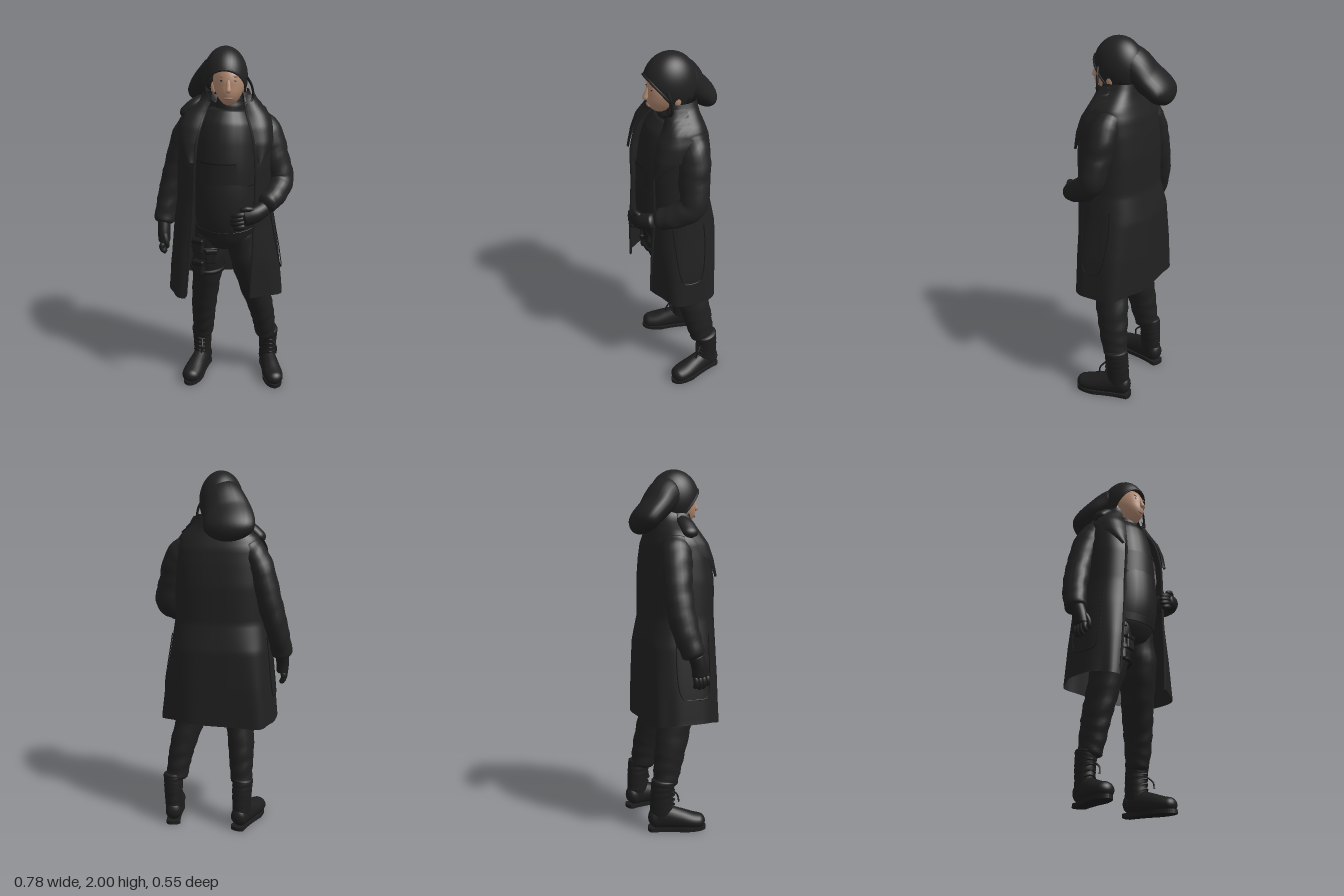
import * as THREE from 'three';
import { RoundedBoxGeometry } from 'three/addons/geometries/RoundedBoxGeometry.js';

const mat = (name, color, side = THREE.FrontSide) => {
  const m = new THREE.MeshStandardMaterial({ color, side });
  m.name = name;
  return m;
};
const V = (p) => new THREE.Vector3(...p);

// Grid of points to a smooth surface; rows optionally closed into a ring
function gridGeometry(rows, closed) {
  const n = rows[0].length, pos = [], idx = [];
  rows.forEach((r) => r.forEach((p) => pos.push(p.x, p.y, p.z)));
  for (let i = 0; i < rows.length - 1; i++) {
    for (let j = 0; j < (closed ? n : n - 1); j++) {
      const k = (j + 1) % n, a = i * n, b = a + n;
      idx.push(a + j, a + k, b + k, a + j, b + k, b + j);
    }
  }
  const g = new THREE.BufferGeometry();
  g.setAttribute('position', new THREE.Float32BufferAttribute(pos, 3));
  g.setIndex(idx);
  g.computeVertexNormals();
  return g;
}

// Round-ended body along a path of [x, y, z, radiusA, radiusB]; A lies across ref
function limbGeometry(path, ref = [0, 0, 1], { cap = 0.08, wrinkle = 0, steps = 40, sides = 24 } = {}) {
  const mid = new THREE.CatmullRomCurve3(path.map((p) => V(p.slice(0, 3))));
  const rad = new THREE.CatmullRomCurve3(path.map((p) => new THREE.Vector3(p[3], p[4] ?? p[3], 0)));
  const rows = [];
  for (let i = 0; i <= steps; i++) {
    const u = (1 - Math.cos((Math.PI * i) / steps)) / 2;
    const c = mid.getPoint(u), r = rad.getPoint(u), t = mid.getTangent(u);
    const a = V(ref).cross(t).normalize(), b = t.clone().cross(a);
    const e = Math.max(0, 1 - Math.min(u, 1 - u) / cap);
    const round = Math.sqrt(Math.max(0, 1 - e * e));
    const row = [];
    for (let j = 0; j < sides; j++) {
      const f = (j / sides) * Math.PI * 2;
      const m = round * (1 + wrinkle * Math.sin(u * 48 + 1.6 * Math.sin(2 * f + u * 9)));
      row.push(c.clone().addScaledVector(a, Math.cos(f) * r.x * m).addScaledVector(b, Math.sin(f) * r.y * m));
    }
    rows.push(row);
  }
  return gridGeometry(rows, true);
}

// Coat sections: y, centre x, centre z, half width, half depth, right edge x, left edge x, right side squareness
const COAT = [
  [0.63, 0.025, -0.02, 0.326, 0.2, -0.2, 0.16, 0.5], [0.85, 0.02, -0.02, 0.305, 0.202, -0.18, 0.17, 0.55],
  [1.05, 0.01, -0.02, 0.28, 0.2, -0.16, 0.175, 0.65], [1.2, 0.01, -0.005, 0.26, 0.185, -0.15, 0.18, 0.75],
  [1.4, 0.01, -0.005, 0.255, 0.187, -0.14, 0.18, 0.75], [1.52, 0.015, -0.01, 0.25, 0.17, -0.13, 0.17, 0.75],
  [1.6, 0.015, -0.02, 0.24, 0.148, -0.11, 0.15, 0.75], [1.66, 0.02, -0.03, 0.215, 0.115, -0.09, 0.13, 0.75],
  [1.7, 0.025, -0.03, 0.165, 0.1, -0.07, 0.12, 0.75], [1.735, 0.03, -0.03, 0.125, 0.095, -0.06, 0.115, 0.75],
  [1.77, 0.03, -0.03, 0.11, 0.09, -0.05, 0.11, 0.75],
];
const power = (v, p) => Math.sign(v) * Math.pow(Math.abs(v), p);
function coatSection(y) {
  let i = 0;
  while (i < COAT.length - 2 && y > COAT[i + 1][0]) i++;
  const k = (y - COAT[i][0]) / (COAT[i + 1][0] - COAT[i][0]);
  return COAT[i].map((v, j) => THREE.MathUtils.lerp(v, COAT[i + 1][j], k));
}
const coatAngle = (s, x) => {
  const u = THREE.MathUtils.clamp((x - s[1]) / s[3], -1, 1);
  return Math.asin(power(u, 1 / (u < 0 ? s[7] : 0.75)));
};
const coatPoint = (s, f, off = 0) => {
  const p = Math.sin(f) < 0 ? s[7] : 0.75;
  return new THREE.Vector3(s[1] + (s[3] + off) * power(Math.sin(f), p), s[0], s[2] + (s[4] + off) * power(Math.cos(f), p));
};

export function createModel() {
  const root = new THREE.Group();
  const coatMat = mat('coat black', 0x212121, THREE.DoubleSide);
  const cloth = mat('cloth black', 0x202020);
  const trouser = mat('trouser black', 0x1f1f1f);
  const leather = mat('leather black', 0x1d1d1d);
  const trim = mat('dark trim', 0x181818);
  const skin = mat('skin', 0xb08870);
  const lip = mat('lip', 0x946e5b);

  const add = (name, geo, m, parent = root) => {
    const mesh = new THREE.Mesh(geo, m);
    mesh.name = name;
    parent.add(mesh);
    return mesh;
  };
  const limb = (name, m, path, ref, opt, parent) => add(name, limbGeometry(path, ref, opt), m, parent);
  const ball = (name, m, p, s, parent) => {
    const b = add(name, new THREE.SphereGeometry(1, 28, 20), m, parent);
    b.position.set(...p);
    b.scale.set(...s);
  };
  const cord = (name, m, pts, r, parent) => add(name,
    new THREE.TubeGeometry(new THREE.CatmullRomCurve3(pts.map(V)), 40, r, 6), m, parent);
  const box = (name, m, size, p, ry) => {
    const b = add(name, new RoundedBoxGeometry(...size, 2, Math.min(...size) * 0.3), m);
    b.position.set(...p);
    b.rotation.y = ry;
  };

  // Open coat, from its left front edge around the back to its right front edge
  const rows = [];
  for (let i = 0; i <= 60; i++) {
    const y = 0.63 + (1.14 * i) / 60, s = coatSection(y), row = [];
    const f0 = coatAngle(s, s[6]), f1 = coatAngle(s, s[5]) + Math.PI * 2;
    for (let j = 0; j <= 72; j++) {
      const f = f0 + ((f1 - f0) * j) / 72;
      const p = coatPoint(s, f, 0.008 * Math.max(0, (1.1 - y) / 0.5) * Math.sin(f * 7));
      if (i === 0) p.y += 0.008 * Math.sin(f * 3);
      row.push(p);
    }
    rows.push(row);
  }
  add('coat', gridGeometry(rows, false), coatMat);

  // Lapels, front edge bands and pocket seams that follow the coat
  for (const [side, col] of [[1, 6], [-1, 5]]) {
    const lapel = [], edge = [], seam = [];
    for (let i = 0; i <= 24; i++) {
      const k = i / 24, s = coatSection(1.42 + 0.34 * k), row = [];
      const w = 0.01 + 0.1 * Math.sin(Math.PI * Math.min(1, k * 0.85 + 0.05));
      for (let j = 0; j <= 8; j++) {
        row.push(coatPoint(s, coatAngle(s, s[col] + side * w * (j / 8)), 0.014 + 0.012 * Math.sin((j / 8) * Math.PI)));
      }
      lapel.push(row);
    }
    add('lapel', gridGeometry(lapel, false), coatMat);
    for (let y = 0.64; y < 1.76; y += 0.06) {
      const s = coatSection(y);
      edge.push(coatPoint(s, coatAngle(s, s[col]), 0.002).toArray());
    }
    cord('coatEdge', coatMat, edge, 0.008);
    for (let i = 0; i <= 20; i++) {
      const k = i / 20, s = coatSection(0.77 + 0.35 * Math.abs(2 * k - 1) ** 4);
      seam.push(coatPoint(s, side * (1.15 + 0.7 * k), 0.004).toArray());
    }
    cord('pocketSeam', trim, seam, 0.003);
  }
  // Turned-down collar resting on the right shoulder
  limb('collarFold', coatMat, [[-0.08, 1.735, -0.01, 0.025], [-0.155, 1.695, 0.005, 0.03, 0.045], [-0.222, 1.635, 0.005, 0.028, 0.045]],
    [0, 0, 1], { cap: 0.2 });

  // Torso, vest and belt
  limb('torso', cloth, [[0.02, 0.9, 0, 0.13, 0.1], [0.02, 1.0, 0.02, 0.165, 0.14], [0.02, 1.12, 0.04, 0.17, 0.15],
    [0.02, 1.24, 0.042, 0.168, 0.148], [0.02, 1.4, 0.03, 0.16, 0.135], [0.03, 1.58, 0, 0.13, 0.11]]);
  limb('vest', cloth, [[0.02, 1.26, 0.035, 0.172, 0.15], [0.02, 1.38, 0.03, 0.168, 0.15], [0.02, 1.5, 0.015, 0.165, 0.148],
    [0.025, 1.6, 0, 0.15, 0.135], [0.03, 1.68, -0.01, 0.1, 0.09]], undefined, { cap: 0.04 });
  limb('belt', leather, [[0.02, 1.0, 0.02, 0.172, 0.146], [0.02, 1.05, 0.026, 0.175, 0.15]], undefined, { cap: 0.15 });
  for (const [name, h, y, r, m] of [['chestPocket', 0.11, 1.36, 1, coatMat], ['pocketHem', 0.008, 1.415, 1.015, trim]]) {
    const panel = new THREE.CylinderGeometry(1, 1, h, 24, 1, true, -0.85, 1.2).scale(0.176 * r, 1, 0.156 * r);
    add(name, panel, m).position.set(0.02, y, 0.03);
  }
  limb('neck', cloth, [[0.035, 1.6, -0.01, 0.085, 0.08], [0.038, 1.68, 0, 0.077, 0.077], [0.038, 1.74, -0.01, 0.066, 0.066],
    [0.035, 1.8, -0.02, 0.06, 0.055]], undefined, { wrinkle: 0.02 });

  // Face, tapered towards the chin
  const head = new THREE.Group();
  head.name = 'head';
  root.add(head);
  const face = new THREE.SphereGeometry(1, 36, 28), fp = face.attributes.position;
  for (let i = 0; i < fp.count; i++) {
    const low = Math.max(0, -fp.getY(i) - 0.1);
    fp.setX(i, fp.getX(i) * (1 - 0.22 * low));
    if (fp.getZ(i) > 0) fp.setZ(i, fp.getZ(i) * (1 + 0.35 * low));
  }
  face.scale(0.085, 0.125, 0.11);
  face.computeVertexNormals();
  add('face', face, skin, head).position.set(0.035, 1.82, 0.02);
  limb('nose', skin, [[0.035, 1.85, 0.118, 0.009], [0.035, 1.81, 0.134, 0.012], [0.035, 1.78, 0.142, 0.017]],
    undefined, { cap: 0.25, steps: 14, sides: 12 }, head);
  ball('mouth', lip, [0.035, 1.75, 0.127], [0.024, 0.007, 0.006], head);
  for (const s of [-1, 1]) {
    ball('eye', trim, [0.035 + s * 0.034, 1.84, 0.118], [0.01, 0.003, 0.004], head);
    ball('brow', lip, [0.035 + s * 0.034, 1.861, 0.115], [0.019, 0.004, 0.004], head);
    ball('ear', skin, [0.033 + s * 0.083, 1.785, 0.0], [0.013, 0.032, 0.02], head);
  }
  ball('napeHair', trim, [0.03, 1.79, -0.055], [0.085, 0.085, 0.045], head);

  // Soft hood with an opening tilted down to the face, and its hanging back
  const open = 1.1, tilt = 0.74;
  const hood = new THREE.SphereGeometry(1, 40, 28, 0, Math.PI * 2, open, Math.PI - open).rotateX(Math.PI / 2 + tilt);
  const rim = new THREE.TorusGeometry(Math.sin(open), 0.045, 8, 48).translate(0, 0, Math.cos(open)).rotateX(tilt);
  for (const [name, g] of [['hood', hood], ['hoodRim', rim]]) {
    add(name, g.scale(0.118, 0.16, 0.143), coatMat, head).position.set(0.015, 1.84, 0);
  }
  limb('hoodTail', cloth, [[0.012, 1.865, -0.01, 0.1, 0.113], [-0.01, 1.85, -0.07, 0.112, 0.097], [-0.045, 1.785, -0.14, 0.13, 0.075],
    [-0.067, 1.73, -0.2, 0.135, 0.068], [-0.078, 1.655, -0.252, 0.115, 0.056]], [0, 0.7, -0.7], { cap: 0.2 }, head);
  cord('hairStrand', trim, [[0.13, 1.85, 0.06], [0.155, 1.8, 0.05], [0.16, 1.74, 0.05], [0.12, 1.71, 0.07]], 0.007, head);

  // Sleeves, bent on the left and hanging on the right
  limb('leftSleeve', coatMat, [[0.17, 1.61, -0.04, 0.08, 0.07], [0.245, 1.53, -0.035, 0.085, 0.078], [0.285, 1.41, -0.02, 0.08, 0.074],
    [0.322, 1.285, 0, 0.073, 0.068], [0.29, 1.225, 0.085, 0.064, 0.062], [0.23, 1.185, 0.175, 0.055, 0.053]],
    [0.7, 0, 0.6], { wrinkle: 0.03, cap: 0.06 });
  limb('rightSleeve', coatMat, [[-0.14, 1.61, -0.05, 0.07, 0.08], [-0.207, 1.52, -0.075, 0.07, 0.085], [-0.26, 1.34, -0.088, 0.07, 0.08],
    [-0.31, 1.16, -0.07, 0.062, 0.075], [-0.339, 1.0, -0.025, 0.058, 0.06]], undefined, { wrinkle: 0.03, cap: 0.04 });

  // Gloved hands
  const finger = { cap: 0.2, steps: 12, sides: 10 };
  limb('leftGlove', leather, [[0.235, 1.18, 0.17, 0.045], [0.18, 1.155, 0.222, 0.038, 0.046], [0.11, 1.135, 0.241, 0.034, 0.046]],
    [0, 1, 0], { cap: 0.15 });
  limb('rightGlove', leather, [[-0.335, 1.02, -0.02, 0.037, 0.042], [-0.335, 0.96, 0, 0.036, 0.043], [-0.333, 0.9, 0.008, 0.032, 0.045]]);
  for (let i = 0; i < 4; i++) {
    const y = 1.167 - i * 0.022, z = -0.024 + i * 0.022, l = [0.9, 1, 0.95, 0.75][i];
    limb('leftFinger', leather, [[0.13, y, 0.248, 0.017], [0.13 - 0.045 * l, y - 0.008, 0.256, 0.016],
      [0.13 - 0.08 * l, y - 0.02, 0.24, 0.014]], [0, 1, 0], finger);
    limb('rightFinger', leather, [[-0.338, 0.91, z, 0.016], [-0.345, 0.91 - 0.04 * l, z + 0.004, 0.015],
      [-0.325, 0.91 - 0.075 * l, z + 0.004, 0.014]], undefined, finger);
  }
  limb('leftThumb', leather, [[0.18, 1.18, 0.225, 0.016], [0.14, 1.195, 0.25, 0.015], [0.1, 1.185, 0.25, 0.012]], [0, 1, 0], finger);
  limb('rightThumb', leather, [[-0.33, 0.97, 0.03, 0.016], [-0.315, 0.92, 0.05, 0.014], [-0.31, 0.88, 0.045, 0.012]], undefined, finger);

  // Trouser legs
  limb('rightLeg', trouser, [[-0.06, 1.02, 0.01, 0.09, 0.11], [-0.08, 0.82, 0, 0.092, 0.112], [-0.1, 0.63, -0.04, 0.08, 0.1],
    [-0.115, 0.47, -0.075, 0.073, 0.09], [-0.12, 0.36, -0.095, 0.066, 0.08], [-0.125, 0.25, -0.115, 0.058, 0.068]],
    undefined, { wrinkle: 0.03, cap: 0.04 });
  limb('leftLeg', trouser, [[0.1, 1.02, 0.01, 0.09, 0.11], [0.14, 0.82, 0, 0.095, 0.112], [0.182, 0.63, -0.04, 0.085, 0.1],
    [0.225, 0.47, -0.075, 0.074, 0.09], [0.247, 0.36, -0.095, 0.067, 0.08], [0.26, 0.25, -0.115, 0.06, 0.068]],
    undefined, { wrinkle: 0.03, cap: 0.04 });

  // Thigh straps and pouches on the right leg
  for (const y of [0.9, 0.76]) {
    const strap = new THREE.TorusGeometry(1, 0.09, 6, 40).rotateX(Math.PI / 2).scale(0.097, 0.14, 0.118);
    add('thighStrap', strap, trim).position.set(-0.083, y, -0.004);
  }
  for (const [x, y, ry] of [[-0.13, 0.92, -0.4], [-0.06, 0.86, 0.1], [-0.13, 0.79, -0.4]]) {
    box('thighPouch', leather, [0.065, 0.085, 0.04], [x, y, 0.105], ry);
    box('pouchFlap', trim, [0.07, 0.03, 0.046], [x, y + 0.03, 0.106], ry);
  }

  // Laced boots
  const sole = new THREE.Shape();
  sole.moveTo(-0.04, 0.05).quadraticCurveTo(-0.045, 0.075, 0, 0.078).quadraticCurveTo(0.045, 0.075, 0.04, 0.05);
  sole.quadraticCurveTo(0.035, -0.03, 0.056, -0.13).quadraticCurveTo(0.055, -0.24, 0, -0.25);
  sole.quadraticCurveTo(-0.055, -0.24, -0.056, -0.13).quadraticCurveTo(-0.035, -0.03, -0.04, 0.05);
  const soleGeo = new THREE.ExtrudeGeometry(sole, { depth: 0.022, bevelEnabled: false }).rotateX(-Math.PI / 2);
  for (const [name, x, turn] of [['rightBoot', -0.132, -0.3], ['leftBoot', 0.275, 0.2]]) {
    const boot = new THREE.Group();
    boot.name = name;
    boot.position.set(x, 0, -0.135);
    boot.rotation.y = turn;
    root.add(boot);
    add('sole', soleGeo, leather, boot);
    limb('shaft', leather, [[0, 0.3, 0.012, 0.058, 0.068], [0, 0.2, 0, 0.054, 0.064], [0, 0.05, 0, 0.045, 0.07]],
      undefined, { wrinkle: 0.015 }, boot);
    limb('foot', leather, [[0, 0.058, -0.075, 0.046, 0.046], [0, 0.076, 0, 0.046, 0.07], [0, 0.065, 0.09, 0.053, 0.06],
      [0, 0.052, 0.17, 0.058, 0.047], [0, 0.045, 0.245, 0.044, 0.038]], [0, 1, 0], { cap: 0.12 }, boot);
    for (let i = 0; i < 5; i++) {
      const y = 0.14 + i * 0.028;
      cord('lace', trim, [[-0.034, y, 0.05], [0, y + 0.008, 0.07], [0.034, y, 0.05]], 0.005, boot);
    }
    cord('laceEnd', trim, [[0.02, 0.22, 0.06], [0.035, 0.19, 0.09], [0.03, 0.15, 0.1]], 0.005, boot);
  }
  return root;
}
